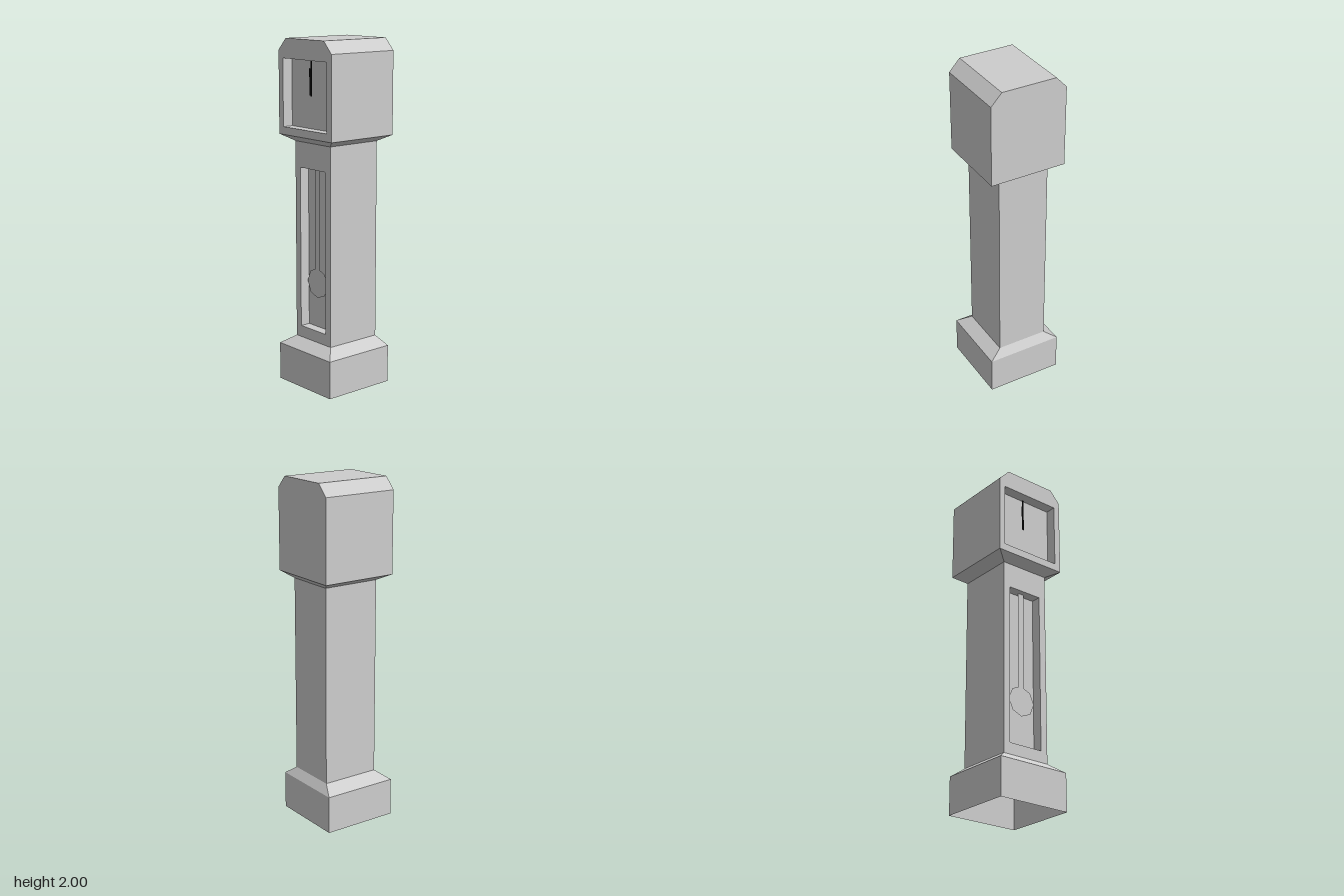
import * as THREE from 'three';

const grey = new THREE.MeshStandardMaterial({ color: 0xcccccc, side: THREE.DoubleSide });
grey.name = 'case grey';
const black = new THREE.MeshStandardMaterial({ color: 0x080808, side: THREE.DoubleSide });
black.name = 'hand black';

// Flat-shaded geometry from quads, each with corners counter-clockwise seen from outside
function quads(list) {
  const pos = list.flatMap(([a, b, c, d]) => [a, b, c, a, c, d].flat());
  const geo = new THREE.BufferGeometry();
  geo.setAttribute('position', new THREE.Float32BufferAttribute(pos, 3));
  geo.computeVertexNormals();
  return geo;
}

// Rectangular section: half width, height, back z, front z
const section = (x, y, back, front) =>
  [[-x, y, front], [x, y, front], [x, y, back], [-x, y, back]];

// Walls joining stacked sections; the front wall can be left out, the top closed
function walls(sections, openFront = false, capped = false) {
  const list = [];
  for (let s = 0; s < sections.length - 1; s++) {
    const lo = sections[s], hi = sections[s + 1];
    for (let i = openFront ? 1 : 0; i < 4; i++) {
      const j = (i + 1) % 4;
      list.push([lo[i], lo[j], hi[j], hi[i]]);
    }
  }
  if (capped) list.push(sections[sections.length - 1]);
  return quads(list);
}

// Front panel with a rectangular opening
function frame(outline, [x0, y0, x1, y1], z) {
  const shape = new THREE.Shape(outline.map(([x, y]) => new THREE.Vector2(x, y)));
  shape.holes.push(new THREE.Path(
    [[x0, y0], [x0, y1], [x1, y1], [x1, y0]].map(([x, y]) => new THREE.Vector2(x, y))));
  return new THREE.ShapeGeometry(shape).translate(0, 0, z);
}

// Inward-facing recess behind an opening
function recess([x0, y0, x1, y1], front, back) {
  const ring = z => [[x0, y0, z], [x1, y0, z], [x1, y1, z], [x0, y1, z]];
  const f = ring(front), b = ring(back);
  return quads([b, ...[0, 1, 2, 3].map(i => {
    const j = (i + 1) % 4;
    return [f[i], f[j], b[j], b[i]];
  })]);
}

function flat(points, z) {
  const shape = new THREE.Shape(points.map(([x, y]) => new THREE.Vector2(x, y)));
  return new THREE.ShapeGeometry(shape).translate(0, 0, z);
}

export function createModel() {
  const clock = new THREE.Group();
  clock.name = 'longcaseClock';
  const add = (name, geo, mat = grey) => {
    const mesh = new THREE.Mesh(geo, mat);
    mesh.name = name;
    clock.add(mesh);
  };

  // Main sections from floor to roof
  const foot = section(0.226, 0, -0.214, 0.232);
  const baseTop = section(0.226, 0.22, -0.214, 0.232);
  const trunkLow = section(0.152, 0.272, -0.181, 0.164);
  const trunkHigh = section(0.152, 1.423, -0.181, 0.164);
  const hoodLow = section(0.227, 1.46, -0.232, 0.22);
  const hoodHigh = section(0.227, 1.932, -0.232, 0.22);
  const roof = section(0.163, 2, -0.232, 0.22);

  // Hollow case, open underneath
  add('base', walls([foot, baseTop, trunkLow]));
  add('trunk', walls([trunkLow, trunkHigh], true));
  add('hoodMoulding', walls([trunkHigh, hoodLow]));
  add('hood', walls([hoodLow, hoodHigh, roof], true, true));

  // Trunk front with pendulum window
  const trunkWindow = [-0.11, 0.339, 0.108, 1.276];
  add('trunkFront', frame(
    [[-0.152, 0.272], [0.152, 0.272], [0.152, 1.423], [-0.152, 1.423]], trunkWindow, 0.164));
  add('pendulumRecess', recess(trunkWindow, 0.164, 0.104));

  // Hood front with dial window
  const dialWindow = [-0.189, 1.504, 0.187, 1.888];
  add('hoodFront', frame([[-0.227, 1.46], [0.227, 1.46], [0.227, 1.932],
    [0.163, 2], [-0.163, 2], [-0.227, 1.932]], dialWindow, 0.22));
  add('dialRecess', recess(dialWindow, 0.22, 0.156));

  // Pendulum: rod running into an eight-sided bob
  const bob = [];
  for (let i = 1; i < 8; i++) {
    const a = Math.PI / 2 + i * Math.PI / 4;
    bob.push([-0.001 + 0.089 * Math.cos(a), 0.612 + 0.089 * Math.sin(a)]);
  }
  add('pendulum', flat(
    [[-0.02, 1.276], [-0.02, 0.692], ...bob, [0.018, 0.692], [0.018, 1.276]], 0.13));

  // Clock hands, both upright
  add('minuteHand', flat(
    [[-0.018, 1.686], [-0.003, 1.686], [-0.003, 1.887], [-0.014, 1.887]], 0.164), black);
  add('hourHand', flat(
    [[-0.021, 1.69], [-0.005, 1.69], [-0.008, 1.84], [-0.022, 1.84]], 0.168), black);

  return clock;
}
